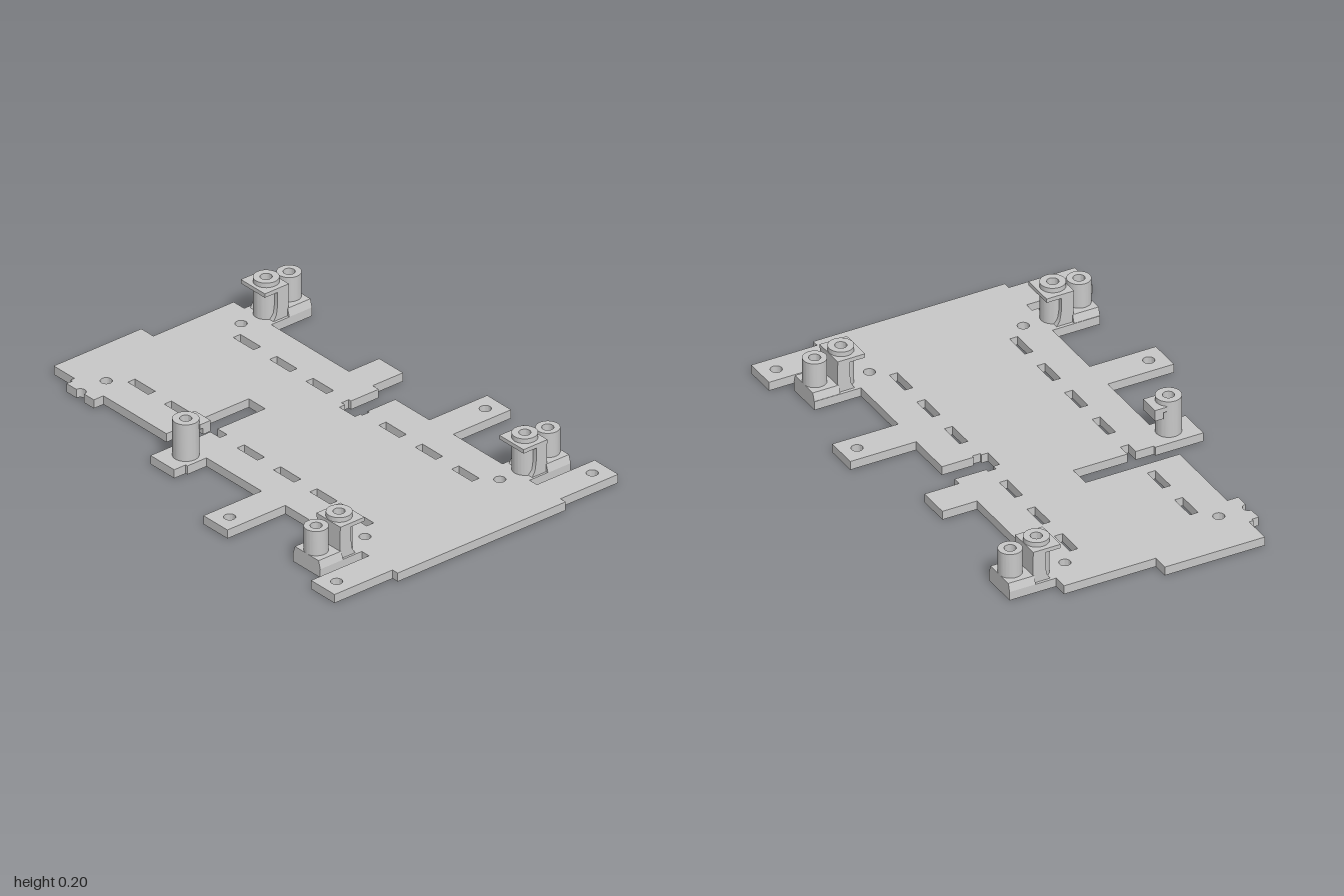
import * as THREE from 'three';
import { toCreasedNormals } from 'three/addons/utils/BufferGeometryUtils.js';

const grey = new THREE.MeshStandardMaterial({ color: 0xc8c8c8 });
grey.name = 'grey plastic';
const BORE = 0.023, THICK = 0.037;

// Plan coordinates are (x, z); heights run from y0 to y1
function toShape(points) {
  return new THREE.Shape(points.map(([x, z]) => new THREE.Vector2(x, -z)));
}
function rect(x0, x1, z0, z1) {
  return [[x0, z0], [x1, z0], [x1, z1], [x0, z1]];
}
function circleHole(x, z) {
  return new THREE.Path().absarc(x, -z, BORE, 0, Math.PI * 2, false);
}
function slotHole(x0, x1, z0, z1) {
  return new THREE.Path(rect(x0, x1, z0, z1).reverse().map(([x, z]) => new THREE.Vector2(x, -z)));
}
function named(name, geometry) {
  const m = new THREE.Mesh(toCreasedNormals(geometry, 0.6), grey);
  m.name = name;
  return m;
}
function prismGeometry(shape, holes, y0, y1) {
  shape.holes.push(...holes);
  const g = new THREE.ExtrudeGeometry(shape, { depth: y1 - y0, bevelEnabled: false, curveSegments: 24 });
  return g.rotateX(-Math.PI / 2).translate(0, y0, 0);
}
function prism(name, shape, holes, y0, y1) {
  return named(name, prismGeometry(shape, holes, y0, y1));
}
function post(name, x, z, r, y0, y1) {
  const s = new THREE.Shape().absarc(x, -z, r, 0, Math.PI * 2, false);
  return prism(name, s, [circleHole(x, z)], y0, y1);
}
// Side profile of (z, y) points, extruded from x0 to x1
function sideProfile(name, points, x0, x1) {
  const s = new THREE.Shape(points.map(([z, y]) => new THREE.Vector2(z, y)));
  const g = new THREE.ExtrudeGeometry(s, { depth: x1 - x0, bevelEnabled: false });
  return named(name, g.rotateY(-Math.PI / 2).translate(x1, 0, 0));
}

// Two hollow posts on a flared foot; s = +1 at the front, -1 at the back
function doublePost(name, x, s) {
  const g = new THREE.Group();
  g.name = name;
  const box = (w, za, zb) => toShape(rect(x - w, x + w, Math.min(s * za, s * zb), Math.max(s * za, s * zb)));

  // Foot sides lean in towards the top
  const foot = prismGeometry(box(0.079, 0.5, 0.611), [circleHole(x, s * 0.565)], THICK, 0.07);
  const p = foot.attributes.position;
  for (let i = 0; i < p.count; i++) {
    const dx = p.getX(i) - x;
    if (p.getY(i) > 0.06 && Math.abs(dx) > 0.07) p.setX(i, x + Math.sign(dx) * 0.069);
  }

  // Rib wings beside the inner post, flared at the base
  const wing = [[0.432, THICK], [0.446, 0.06], [0.452, 0.1], [0.452, 0.16], [0.505, 0.16], [0.505, THICK]]
    .map(([z, y]) => [s * z, y]);
  g.add(
    named('foot', foot),
    sideProfile('ribWingLeft', wing, x + 0.04, x + 0.068),
    sideProfile('ribWingRight', wing, x - 0.068, x - 0.04),
    prism('ribCentre', box(0.04, 0.479, 0.505), [], THICK, 0.16),
    prism('flange', box(0.07, 0.388, 0.505), [circleHole(x, s * 0.453)], 0.158, 0.175),
    post('innerPost', x, s * 0.453, 0.05, THICK, 0.195),
    post('outerPost', x, s * 0.565, 0.047, 0.07, 0.175)
  );
  return g;
}

export function createModel() {
  const model = new THREE.Group();
  model.name = 'mountingPlate';
  const B = -0.412, F = 0.407;

  // Small half-round bite in the front right tab
  const bite = [];
  for (let i = 0; i <= 8; i++) {
    const a = Math.PI * i / 8;
    bite.push([-0.79 - 0.023 * Math.cos(a), 0.454 - 0.023 * Math.sin(a)]);
  }
  bite.reverse();

  // Plate outline: back edge, then front edge
  const outline = [
    [-1, -0.02], [-0.93, -0.02], [-0.93, B],
    [-0.869, B], [-0.869, -0.611], [-0.711, -0.611], [-0.711, B],
    [-0.26, B], [-0.26, -0.56], [-0.122, -0.56], [-0.122, B],
    [-0.087, B], [-0.087, -0.277], [-0.1, -0.277], [-0.1, -0.242], [-0.08, -0.242],
    [-0.08, -0.215], [0.01, -0.215], [0.01, -0.242], [0.02, -0.242], [0.02, -0.277], [0.01, -0.277], [0.01, B],
    [0.208, B], [0.208, -0.694], [0.347, -0.694], [0.347, B],
    [0.633, B], [0.633, -0.611], [0.791, -0.611], [0.791, B],
    [0.833, B], [0.833, -0.694], [0.97, -0.694], [0.97, B], [1, B],
    [1, F], [0.97, F], [0.97, 0.69], [0.833, 0.69], [0.833, F],
    [0.791, F], [0.791, 0.61], [0.633, 0.61], [0.633, F],
    [0.347, F], [0.347, 0.69], [0.208, 0.69], [0.208, F],
    [-0.112, F], [-0.112, 0.5], [-0.122, 0.5], [-0.122, 0.556], [-0.26, 0.556], [-0.26, 0.35], [-0.25, 0.35],
    [-0.25, 0.272], [-0.195, 0.272], [-0.195, 0.237], [-0.25, 0.237], [-0.25, 0.005], [-0.345, 0.005], [-0.345, F],
    [-0.711, F], [-0.711, 0.454], ...bite, [-0.869, 0.454], [-0.869, 0.425], [-0.88, 0.425], [-0.88, F], [-1, F],
  ];

  // Rows of cable slots, skipping those that open into a notch
  const holes = [];
  for (let i = 0; i < 7; i++) {
    const x = -0.73 + i * 0.2117;
    if (i !== 3) holes.push(slotHole(x, x + 0.118, -0.277, -0.242));
    if (i !== 2) holes.push(slotHole(x, x + 0.118, 0.237, 0.272));
  }
  // Screw holes and the bores under the posts
  for (const x of [-0.79, 0.714]) holes.push(circleHole(x, -0.331), circleHole(x, 0.327));
  for (const x of [0.278, 0.9]) holes.push(circleHole(x, -0.626), circleHole(x, 0.621));
  for (const [x, s] of [[-0.79, -1], [0.714, -1], [0.714, 1]]) {
    holes.push(circleHole(x, s * 0.453), circleHole(x, s * 0.565));
  }
  holes.push(circleHole(-0.18, 0.451));
  model.add(prism('plate', toShape(outline), holes, 0, THICK));

  // Post pairs
  model.add(
    doublePost('backRightPosts', -0.79, -1),
    doublePost('backLeftPosts', 0.714, -1),
    doublePost('frontLeftPosts', 0.714, 1)
  );

  // Single front post with a small hooked lug
  const single = new THREE.Group();
  single.name = 'frontPost';
  single.add(
    post('singlePost', -0.18, 0.451, 0.051, THICK, 0.195),
    prism('lug', toShape(rect(-0.226, -0.134, 0.368, 0.42)), [], 0.155, 0.175),
    prism('lugHook', toShape(rect(-0.226, -0.134, 0.368, 0.405)), [], 0.128, 0.156)
  );
  model.add(single);
  return model;
}
